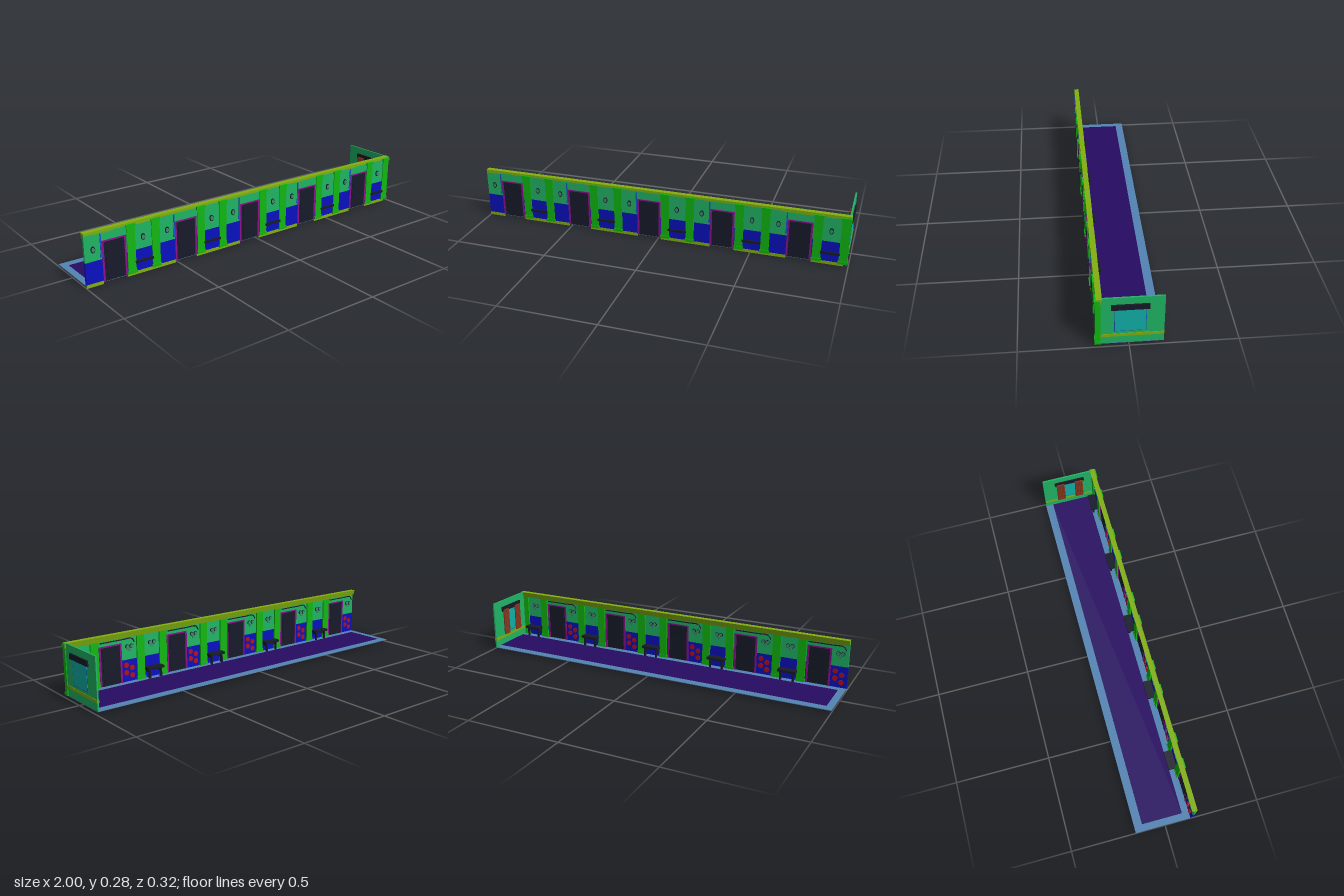
import * as THREE from 'three';

const mat = (color) => new THREE.MeshStandardMaterial({ color });
const M = {
  green: mat(0x1fb565), blue: mat(0x0a10c0), pillar: mat(0x12b812), trim: mat(0x82b010),
  dark: mat(0x171b29), frame: mat(0x8c108c), glass: mat(0x10b0a8), sash: mat(0x1a55d0),
  floor: mat(0x270b62), border: mat(0x5283b3), red: mat(0xb01020), curtain: mat(0x8a3820),
  lamp: mat(0x3c8f6c),
};

// Box given by its limits on each axis
function box(parent, name, m, x0, x1, y0, y1, z0, z1) {
  const mesh = new THREE.Mesh(new THREE.BoxGeometry(x1 - x0, y1 - y0, z1 - z0), m);
  mesh.position.set((x0 + x1) / 2, (y0 + y1) / 2, (z0 + z1) / 2);
  mesh.name = name;
  parent.add(mesh);
  return mesh;
}

// Short cylinder lying along z
function disc(parent, name, m, x, y, z, r, depth, sy = 1) {
  const geo = new THREE.CylinderGeometry(r, r, depth, 14).rotateX(Math.PI / 2).scale(1, sy, 1);
  const mesh = new THREE.Mesh(geo, m);
  mesh.position.set(x, y, z);
  mesh.name = name;
  parent.add(mesh);
}

function tube(parent, name, m, points, r) {
  const curve = new THREE.CatmullRomCurve3(points.map((p) => new THREE.Vector3(...p)));
  const mesh = new THREE.Mesh(new THREE.TubeGeometry(curve, 20, r, 6), m);
  mesh.name = name;
  parent.add(mesh);
}

function group(parent, name) {
  const g = new THREE.Group();
  g.name = name;
  parent.add(g);
  return g;
}

const Y0 = 0.012, SPLIT = 0.128, TOP = 0.262;

// Blue dado below, green panel above
function wallPanel(parent, x0, x1) {
  box(parent, 'lowerPanel', M.blue, x0, x1, Y0, SPLIT, 0.136, 0.148);
  box(parent, 'upperPanel', M.green, x0, x1, SPLIT, TOP, 0.136, 0.148);
  box(parent, 'skirting', M.trim, x0, x1, 0, 0.017, 0.143, 0.149);
}

function pillar(parent, x) {
  const g = group(parent, 'pillar');
  box(g, 'shaft', M.pillar, x - 0.022, x + 0.022, Y0, 0.25, 0.128, 0.152);
  box(g, 'base', M.pillar, x - 0.025, x + 0.025, Y0, 0.028, 0.126, 0.155);
  box(g, 'capital', M.pillar, x - 0.025, x + 0.025, 0.25, 0.267, 0.13, 0.155);
}

// Twin wall lamp inside, small oval plate outside
function wallLamp(parent, x) {
  const g = group(parent, 'wallLamp');
  for (const s of [-1, 1]) {
    disc(g, 'lampRim', M.dark, x + s * 0.012, 0.197, 0.134, 0.011, 0.006);
    disc(g, 'lampLens', M.lamp, x + s * 0.012, 0.197, 0.131, 0.009, 0.006);
  }
  disc(g, 'lampBracket', M.lamp, x, 0.18, 0.134, 0.009, 0.006);
  disc(g, 'outerPlate', M.dark, x, 0.187, 0.149, 0.011, 0.008, 1.5);
  disc(g, 'outerPlateFace', M.lamp, x, 0.187, 0.15, 0.008, 0.009, 1.5);
}

function door(parent, x) {
  const g = group(parent, 'door');
  box(g, 'doorLeaf', M.dark, x - 0.055, x + 0.055, Y0, 0.212, 0.136, 0.149);
  for (const s of [-1, 1]) {
    const c = x + s * 0.059;
    box(g, 'doorJamb', M.frame, c - 0.005, c + 0.005, Y0, 0.219, 0.133, 0.151);
  }
  box(g, 'doorHead', M.frame, x - 0.064, x + 0.064, 0.212, 0.219, 0.133, 0.151);
  // raised fields and handle
  for (const [y0, y1] of [[0.03, 0.075], [0.085, 0.13], [0.14, 0.2]]) {
    box(g, 'doorField', M.dark, x - 0.042, x + 0.042, y0, y1, 0.134, 0.1505);
  }
  box(g, 'doorHandle', M.dark, x - 0.047, x - 0.038, 0.1, 0.108, 0.129, 0.153);
  box(g, 'lintelPanel', M.green, x - 0.064, x + 0.064, 0.219, TOP, 0.136, 0.148);
}

function bench(parent, x) {
  const g = group(parent, 'bench');
  box(g, 'benchSeat', M.dark, x - 0.049, x + 0.049, 0.06, 0.072, 0.093, 0.158);
  for (const s of [-1, 1]) {
    const c = x + s * 0.034;
    box(g, 'benchLeg', M.dark, c - 0.005, c + 0.005, Y0, 0.06, 0.102, 0.112);
    box(g, 'benchRail', M.dark, c - 0.004, c + 0.004, 0.045, 0.06, 0.102, 0.136);
  }
}

function endWall(parent) {
  const g = group(parent, 'endWall');
  box(g, 'endPanel', M.green, 0.982, 0.99, Y0, 0.275, -0.157, 0.148);
  box(g, 'endBand', M.trim, 0.98, 0.992, 0.051, 0.067, -0.157, 0.148);
  box(g, 'windowFrame', M.sash, 0.979, 0.992, 0.082, 0.212, -0.076, 0.067);
  box(g, 'windowPane', M.glass, 0.978, 0.993, 0.085, 0.209, -0.073, 0.064);
  box(g, 'blindBox', M.dark, 0.976, 0.998, 0.21, 0.238, -0.09, 0.081);
  // curtains with soft folds
  for (const c of [-0.058, 0.049]) {
    for (let i = -2; i <= 2; i++) {
      const fold = new THREE.Mesh(new THREE.CylinderGeometry(0.005, 0.006, 0.15, 8), M.curtain);
      fold.position.set(0.974, 0.145, c + i * 0.009);
      fold.name = 'curtainFold';
      g.add(fold);
    }
  }
}

export function createModel() {
  const root = new THREE.Group();
  root.name = 'corridor';

  // Floor with a paler border
  box(root, 'floorBorder', M.border, -1, 0.99, 0.009, 0.0125, -0.158, 0.147);
  box(root, 'floorField', M.floor, -0.965, 0.985, 0.0085, 0.0135, -0.115, 0.1);

  // Five repeated bays along the long wall
  for (let i = 0; i < 5; i++) {
    const d = -0.848 + i * 0.399;
    const bay = group(root, 'bay' + (i + 1));
    const left = i === 0 ? -1 : d - 0.173;
    wallPanel(bay, left, d - 0.064);
    wallPanel(bay, d + 0.064, d + 0.226);
    door(bay, d);
    pillar(bay, d + 0.09);
    pillar(bay, i === 4 ? 0.972 : d + 0.226);
    bench(bay, d + 0.157);
    wallLamp(bay, d + 0.155);
    wallLamp(bay, d - 0.109);
    // red round fittings on the blue panel
    for (const [dx, y] of [[-0.088, 0.1], [-0.122, 0.082], [-0.088, 0.06], [-0.122, 0.042]]) {
      disc(bay, 'redDisc', M.red, d + dx, y, 0.135, 0.014, 0.005);
    }
    // conduits on both faces
    box(bay, 'outerConduit', M.sash, d - 0.071, d - 0.065, 0.15, 0.257, 0.146, 0.151);
    box(bay, 'conduitSwitch', M.sash, d - 0.074, d - 0.062, 0.14, 0.153, 0.146, 0.152);
    tube(bay, 'innerConduit', M.dark,
      [[d + 0.06, 0.238, 0.132], [d - 0.06, 0.238, 0.132], [d - 0.125, 0.236, 0.132],
        [d - 0.138, 0.215, 0.132]], 0.003);
  }

  // Sloped cornice along the top
  const profile = new THREE.Shape([[0.148, 0.275], [0.121, 0.275], [0.128, 0.246], [0.148, 0.257]]
    .map(([z, y]) => new THREE.Vector2(-z, y)));
  const cornice = new THREE.Mesh(
    new THREE.ExtrudeGeometry(profile, { depth: 1.995, bevelEnabled: false }), M.trim);
  cornice.rotation.y = Math.PI / 2;
  cornice.position.x = -1;
  cornice.name = 'cornice';
  root.add(cornice);

  endWall(root);
  return root;
}
